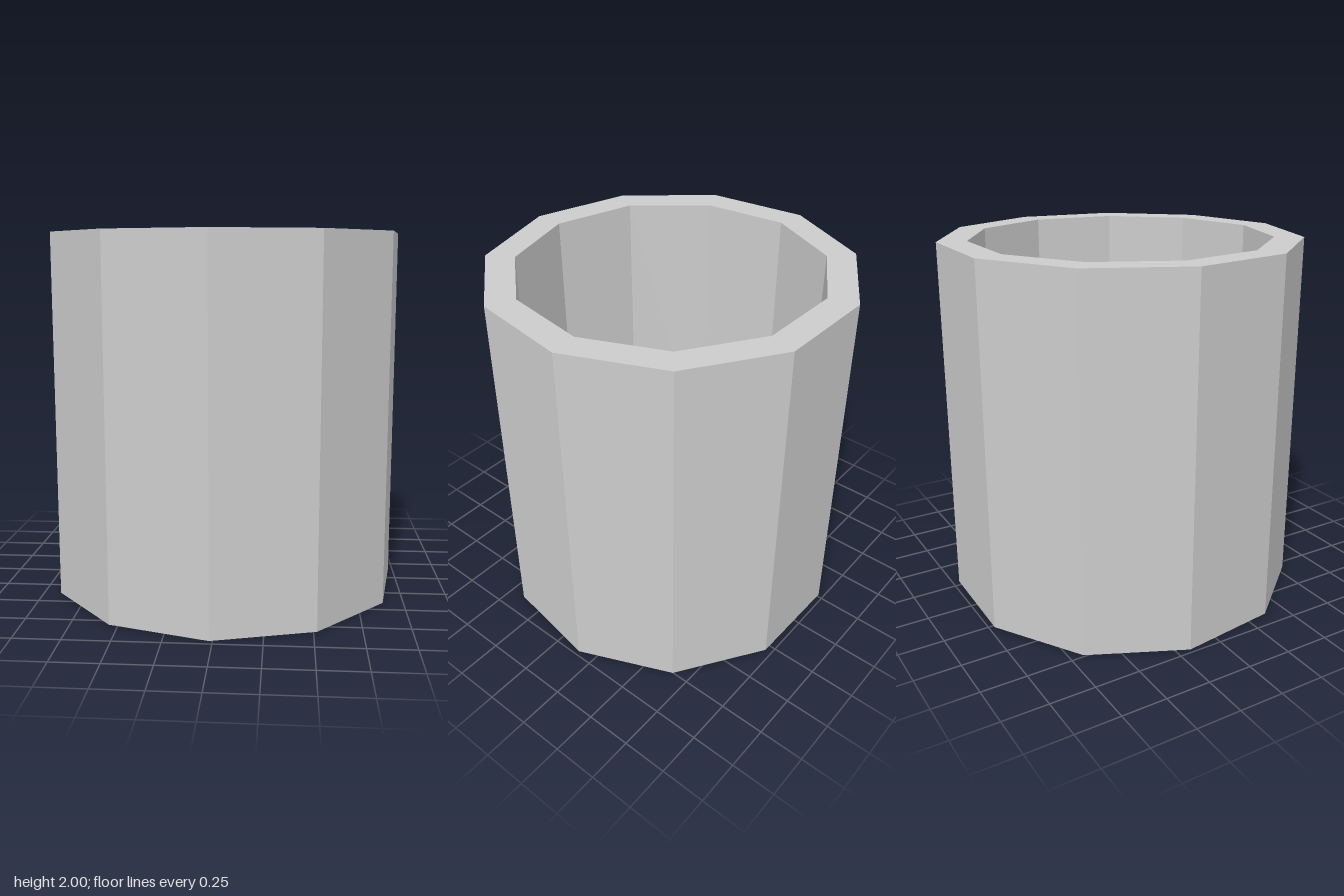
import * as THREE from 'three';

const SIDES = 11;
const OUTER = 0.986;
const INNER = 0.826;
const HEIGHT = 2;
const FLOOR = 0.16;

export function createModel() {
  const group = new THREE.Group();
  group.name = 'cup';
  const material = new THREE.MeshStandardMaterial({ color: 0xcccccc, flatShading: true });

  // Closed profile: underside, outer wall, rim, inner wall, inner floor
  const profile = [
    [0, 0], [OUTER, 0], [OUTER, HEIGHT], [INNER, HEIGHT], [INNER, FLOOR], [0, FLOOR],
  ].map(([r, y]) => new THREE.Vector2(r, y));

  // Eleven flat sides, turned slightly so one corner points just off the front
  const geometry = new THREE.LatheGeometry(profile, SIDES, -0.015, Math.PI * 2).toNonIndexed();
  geometry.computeVertexNormals();

  const cup = new THREE.Mesh(geometry, material);
  cup.name = 'cupBody';
  cup.position.set(-0.003, 0, -0.02);
  group.add(cup);
  return group;
}
